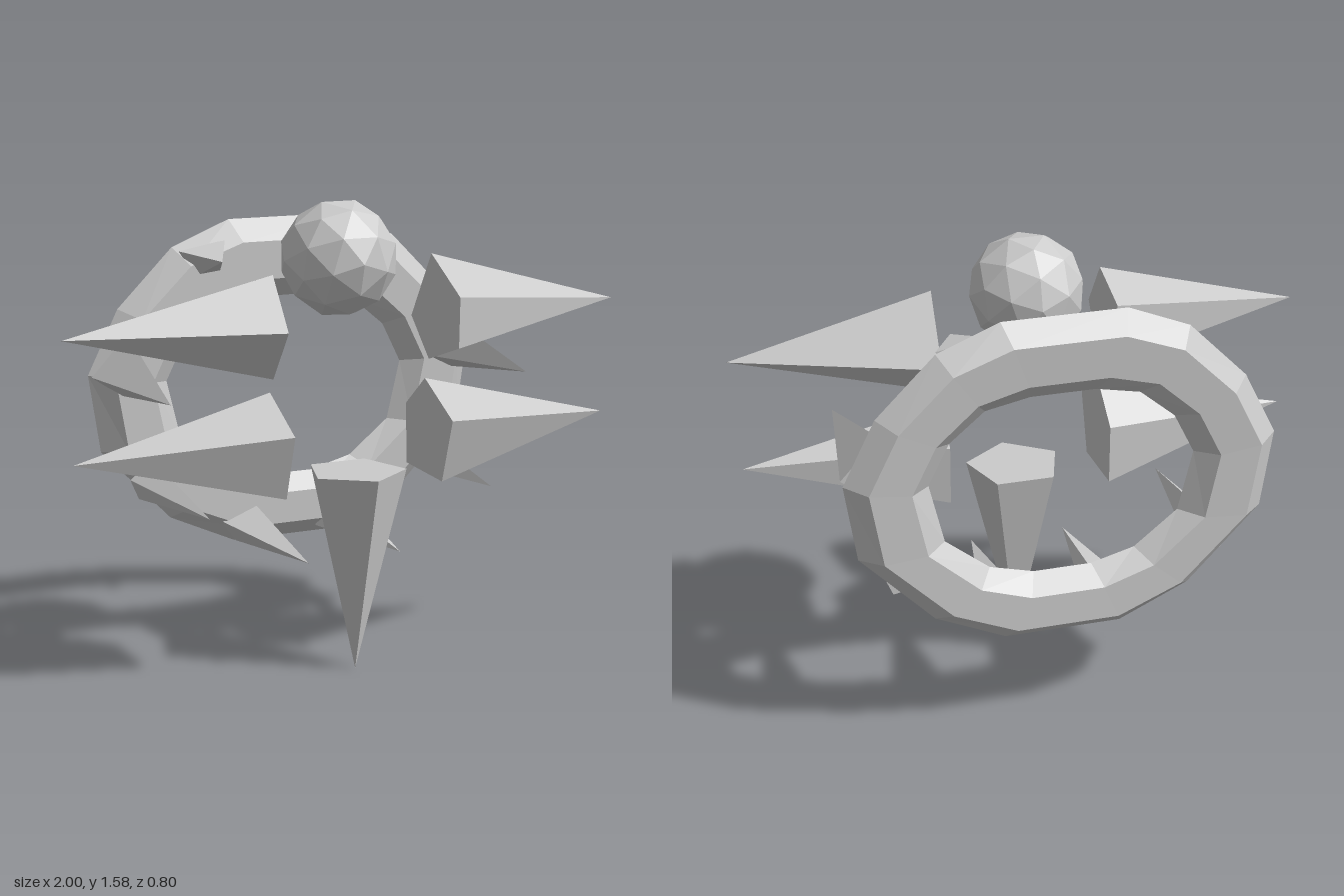
import * as THREE from 'three';
import { ConvexGeometry } from 'three/addons/geometries/ConvexGeometry.js';

const material = new THREE.MeshStandardMaterial({ color: 0xcccccc, flatShading: true });
const V = (x, y, z) => new THREE.Vector3(x, y, z);

function add(parent, name, geometry) {
  const mesh = new THREE.Mesh(geometry, material);
  mesh.name = name;
  parent.add(mesh);
  return mesh;
}

// Closed pyramid from a base outline and a tip
const pyramid = (base, tip) => new ConvexGeometry([...base, tip]);

// Regular pentagon as pairs of numbers
const pentagon = (u, v, radius, start) => Array.from({ length: 5 }, (_, i) => {
  const a = start + (i * Math.PI * 2) / 5;
  return [u + radius * Math.cos(a), v + radius * Math.sin(a)];
});

// Chunky oval ring lofted between an outer and an inner outline
function ringGeometry() {
  const mirrored = (half) => [...half, ...half.map(([x, y]) => [-x, y]).reverse()];
  const outer = mirrored([[0.2, 0.34], [0.44, 0.45], [0.69, 0.71], [0.73, 0.98], [0.62, 1.2], [0.42, 1.4], [0.21, 1.485]]);
  const inner = mirrored([[0.1, 0.57], [0.25, 0.61], [0.4, 0.73], [0.45, 0.94], [0.38, 1.08], [0.26, 1.18], [0.11, 1.21]]);
  // Cross-section: share of the way from outer to inner, and z
  const section = [[0, -0.33], [0.27, -0.26], [0.75, -0.26], [1, -0.32], [0.75, -0.395], [0.25, -0.4]];
  const n = outer.length, m = section.length;
  const positions = [], index = [];
  for (let i = 0; i < n; i++) {
    for (const [t, z] of section) {
      positions.push(
        THREE.MathUtils.lerp(outer[i][0], inner[i][0], t),
        THREE.MathUtils.lerp(outer[i][1], inner[i][1], t), z);
    }
    for (let k = 0; k < m; k++) {
      const j = (i + 1) % n, l = (k + 1) % m;
      const a = i * m + k, b = j * m + k, c = j * m + l, d = i * m + l;
      index.push(a, b, c, a, c, d);
    }
  }
  const g = new THREE.BufferGeometry();
  g.setAttribute('position', new THREE.Float32BufferAttribute(positions, 3));
  g.setIndex(index);
  const flat = g.toNonIndexed();
  flat.computeVertexNormals();
  return flat;
}

export function createModel() {
  const model = new THREE.Group();
  model.name = 'spikedRingCreature';

  add(model, 'ring', ringGeometry());

  // Forward spikes on the ring: four-cornered base, then tip
  const ringSpikes = [
    { base: [[0.73, 0.98], [0.6, 1.12], [0.53, 0.96], [0.63, 0.91]], tip: [0.65, 0.98, 0.24] },
    { base: [[0.46, 0.56], [0.52, 0.675], [0.6, 0.61], [0.57, 0.54]], tip: [0.52, 0.59, 0.24] },
    { base: [[0.1, 0.37], [0.14, 0.48], [0.27, 0.43], [0.21, 0.35]], tip: [0.17, 0.4, 0.24] },
    { base: [[0.41, 1.39], [0.24, 1.42], [0.26, 1.31], [0.35, 1.3]], tip: [0.32, 1.37, -0.12] },
  ];
  const spikes = new THREE.Group();
  spikes.name = 'ringSpikes';
  model.add(spikes);
  ringSpikes.forEach(({ base, tip }) => {
    for (const s of [1, -1]) {
      add(spikes, s > 0 ? 'leftRingSpike' : 'rightRingSpike', pyramid(
        base.map(([x, y]) => V(s * x, y, -0.29)), V(s * tip[0], tip[1], tip[2])));
    }
  });

  // Head ball
  const head = add(model, 'head', new THREE.IcosahedronGeometry(0.197, 1));
  head.position.set(0, 1.395, 0.11);
  head.rotation.x = 0.55;

  // Floating side limbs: base outline as [z, y]
  const leftArm = [[0.18, 1.4], [0.04, 1.17], [0.17, 1.04], [0.38, 1.11], [0.385, 1.28]];
  const leftLeg = [[0.19, 0.98], [0.39, 0.87], [0.32, 0.65], [0.06, 0.66], [0.055, 0.87]];
  const limb = (name, outline, baseX, tip) =>
    add(model, name, pyramid(outline.map(([z, y]) => V(baseX, y, z)), tip));
  limb('leftUpperLimb', leftArm, 0.31, V(1, 1.21, 0.215));
  limb('rightUpperLimb', pentagon(0.22, 1.21, 0.178, 0), -0.31, V(-1, 1.21, 0.22));
  limb('leftLowerLimb', leftLeg, 0.285, V(0.97, 0.81, 0.215));
  limb('rightLowerLimb', leftLeg, -0.285, V(-0.97, 0.81, 0.215));

  // Tail spike pointing down
  add(model, 'tail', pyramid(
    pentagon(0.012, 0.22, 0.172, Math.PI / 2).map(([x, z]) => V(x, 0.695, z)),
    V(0.015, 0, 0.215)));

  return model;
}
